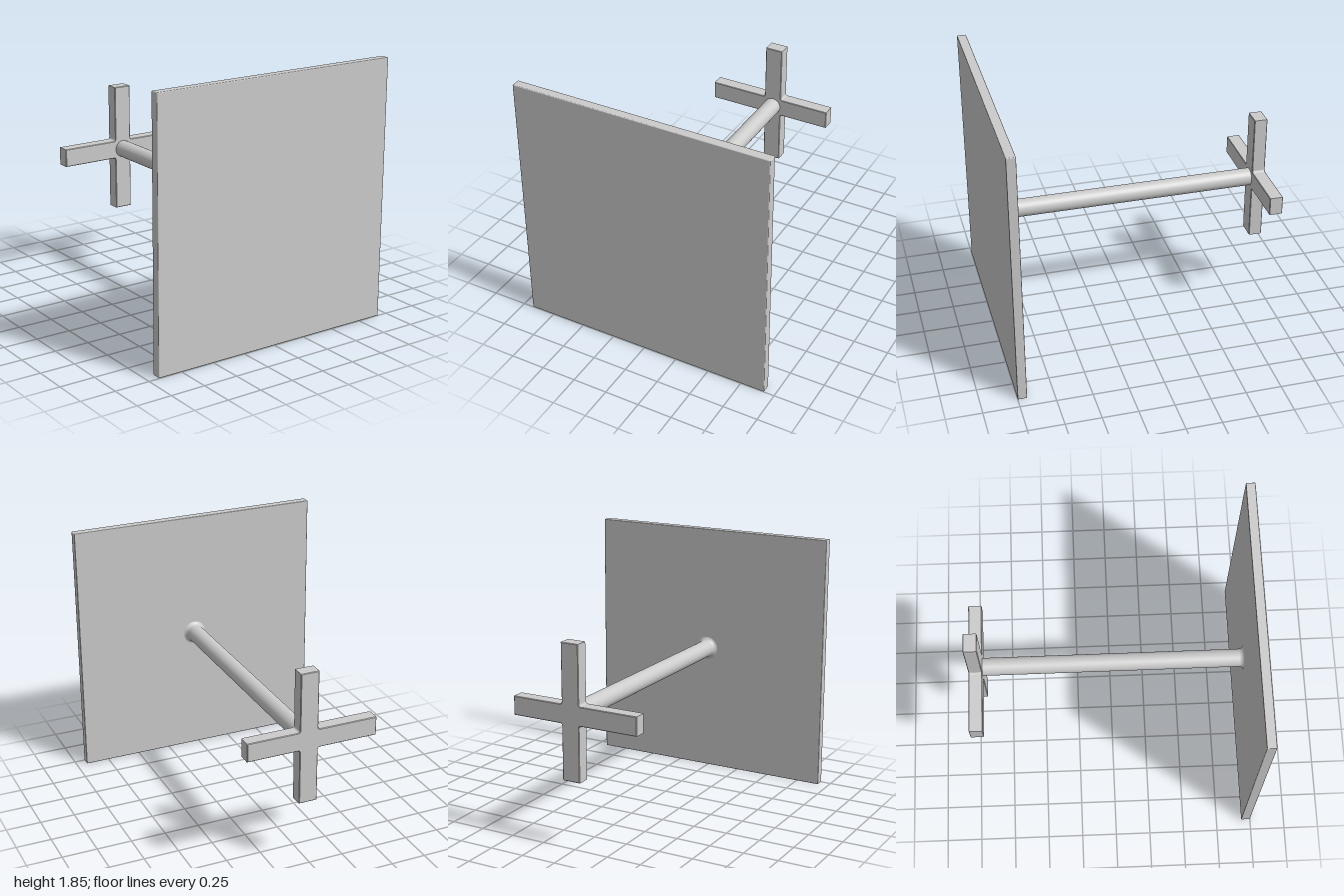
import * as THREE from 'three';
import { RoundedBoxGeometry } from 'three/addons/geometries/RoundedBoxGeometry.js';

const material = new THREE.MeshStandardMaterial({ color: 0xcccccc });
const AXIS_X = 0.02, AXIS_Y = 0.935;

function addPart(group, name, geometry, x, y, z) {
  const mesh = new THREE.Mesh(geometry, material);
  mesh.name = name;
  mesh.position.set(x, y, z);
  group.add(mesh);
}

// Cross outline with small fillets in the four inner corners
function crossShape(left, right, bottom, top, x0, x1, y0, y1, r) {
  const s = new THREE.Shape();
  s.moveTo(x0, bottom);
  s.lineTo(x1, bottom);
  s.lineTo(x1, y0 - r);
  s.quadraticCurveTo(x1, y0, x1 + r, y0);
  s.lineTo(right, y0);
  s.lineTo(right, y1);
  s.lineTo(x1 + r, y1);
  s.quadraticCurveTo(x1, y1, x1, y1 + r);
  s.lineTo(x1, top);
  s.lineTo(x0, top);
  s.lineTo(x0, y1 + r);
  s.quadraticCurveTo(x0, y1, x0 - r, y1);
  s.lineTo(left, y1);
  s.lineTo(left, y0);
  s.lineTo(x0 - r, y0);
  s.quadraticCurveTo(x0, y0, x0, y0 - r);
  s.closePath();
  return s;
}

export function createModel() {
  const group = new THREE.Group();

  // Square front plate with softened edges
  addPart(group, 'frontPlate', new RoundedBoxGeometry(1.85, 1.85, 0.065, 2, 0.006), 0, 0.925, 0.9675);

  // Round shaft flaring into a fillet at the plate
  const profile = [new THREE.Vector2(0.063, -0.92)];
  for (let i = 0; i <= 6; i++) {
    const a = (i / 6) * Math.PI / 2;
    profile.push(new THREE.Vector2(0.063 + 0.035 * (1 - Math.cos(a)), 0.902 + 0.035 * Math.sin(a)));
  }
  const shaft = new THREE.LatheGeometry(profile, 40).rotateX(Math.PI / 2);
  addPart(group, 'shaft', shaft, AXIS_X, AXIS_Y, 0);

  // Cross-shaped handle at the back end
  const cross = new THREE.ExtrudeGeometry(
    crossShape(-0.475, 0.46, 0.475, 1.415, -0.045, 0.085, 0.868, 1.0, 0.018),
    { depth: 0.087, bevelEnabled: true, bevelThickness: 0.004, bevelSize: 0.004, bevelOffset: -0.004, bevelSegments: 1, curveSegments: 5 }
  );
  addPart(group, 'crossHandle', cross, 0, 0, -0.996);

  return group;
}
